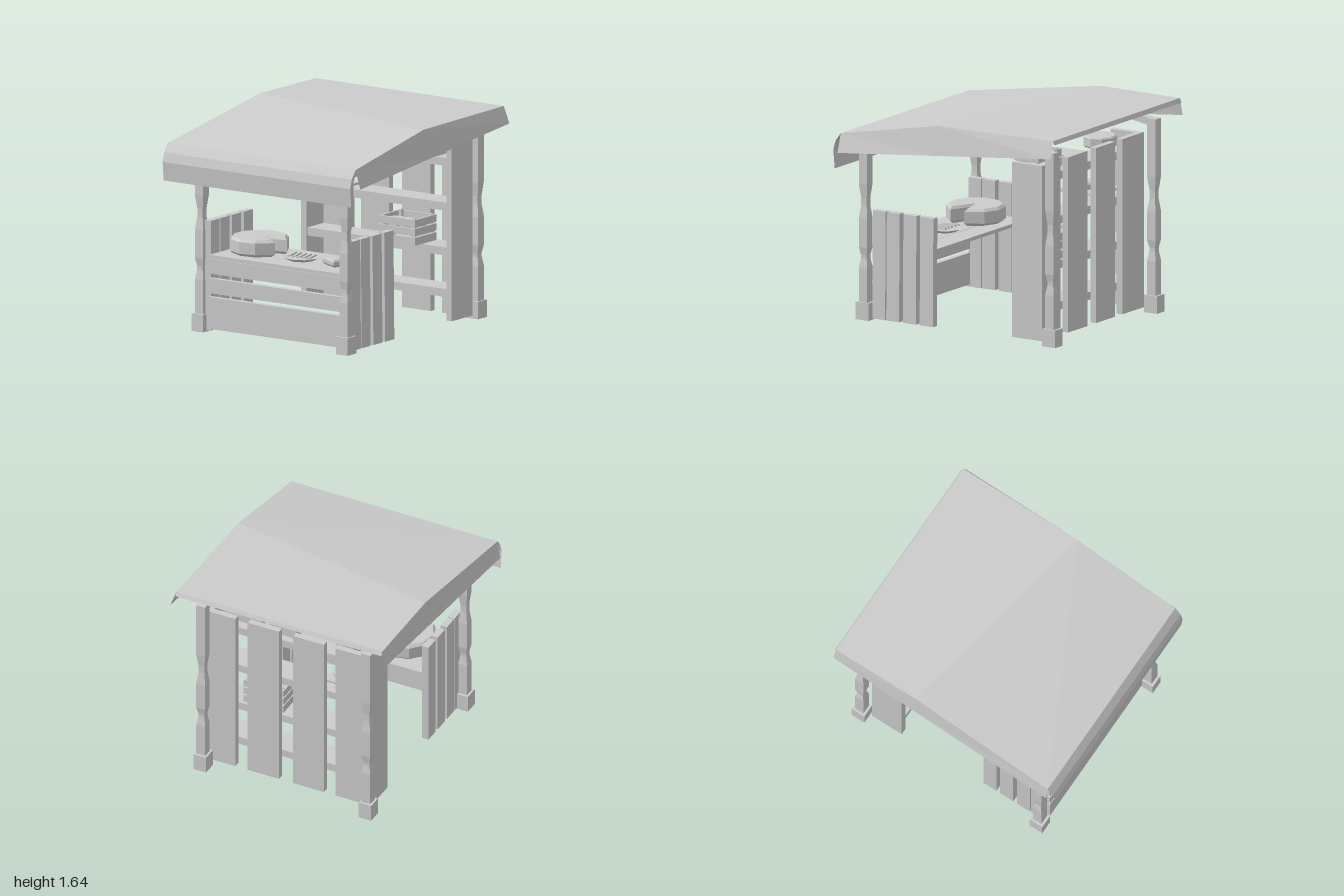
import * as THREE from 'three';

const mat = new THREE.MeshStandardMaterial({ color: 0xcccccc, flatShading: true });
const thin = new THREE.MeshStandardMaterial({ color: 0xcccccc, flatShading: true, side: THREE.DoubleSide });

function add(parent, name, geo, material = mat) {
  const m = new THREE.Mesh(geo, material);
  m.name = name;
  parent.add(m);
  return m;
}

// Box given by its min and max on each axis
function box(parent, name, x0, x1, y0, y1, z0, z1) {
  const m = add(parent, name, new THREE.BoxGeometry(x1 - x0, y1 - y0, z1 - z0));
  m.position.set((x0 + x1) / 2, (y0 + y1) / 2, (z0 + z1) / 2);
  return m;
}

function group(parent, name) {
  const g = new THREE.Group();
  g.name = name;
  parent.add(g);
  return g;
}

// Flat quads joined into one folded sheet
function sheet(quads) {
  const pos = [];
  for (const [a, b, c, d] of quads) pos.push(...a, ...b, ...c, ...a, ...c, ...d);
  const g = new THREE.BufferGeometry();
  g.setAttribute('position', new THREE.Float32BufferAttribute(pos, 3));
  g.computeVertexNormals();
  return g;
}

// Low-poly cheese wheel with a slice removed around the angle "turn"
function cheese(parent, name, r, h, cut, turn, x, y, z, sides = 9) {
  const bevel = r * 0.09;
  const s = new THREE.Shape();
  if (cut > 0) s.moveTo(0, 0);
  for (let i = 0; i <= sides; i++) {
    const a = cut / 2 + (i / sides) * (Math.PI * 2 - cut);
    const px = Math.cos(a) * (r - bevel), py = Math.sin(a) * (r - bevel);
    if (i === 0 && cut === 0) s.moveTo(px, py);
    else s.lineTo(px, py);
  }
  const geo = new THREE.ExtrudeGeometry(s, {
    depth: h - 2 * bevel, bevelEnabled: true, bevelSegments: 1, bevelSize: bevel, bevelThickness: bevel,
  });
  geo.translate(0, 0, bevel);
  geo.rotateX(-Math.PI / 2);
  const m = add(parent, name, geo);
  m.position.set(x, y, z);
  m.rotation.y = turn;
  return m;
}

// Slatted crate with corner battens
function crate(parent, name, x, y, z, w, h, d, rows) {
  const g = group(parent, name);
  g.position.set(x, y, z);
  const t = 0.018, step = h / rows;
  box(g, 'crateFloor', -w / 2, w / 2, 0, t, -d / 2, d / 2);
  for (let i = 0; i < rows; i++) {
    const y0 = i * step + 0.004, y1 = (i + 1) * step - 0.008;
    for (const s of [-1, 1]) {
      const zc = s * (d / 2 - t / 2), xc = s * (w / 2 - t / 2);
      box(g, 'crateLongSlat', -w / 2, w / 2, y0, y1, zc - t / 2, zc + t / 2);
      box(g, 'crateEndSlat', xc - t / 2, xc + t / 2, y0, y1, -d / 2 + t, d / 2 - t);
    }
  }
  for (const sx of [-1, 1]) for (const sz of [-1, 1]) {
    const xc = sx * (w / 2 - 0.03), zc = sz * (d / 2 - 0.03);
    box(g, 'crateBatten', xc - 0.013, xc + 0.013, 0, h, zc - 0.013, zc + 0.013);
  }
  return g;
}

function buildRoof(parent) {
  const roof = group(parent, 'roof');
  const L = -0.885, R = 0.86;
  const FL = [L, 1.455, 0.93], FR = [R, 1.455, 0.93];
  const ML = [L, 1.64, -0.27], MR = [R, 1.62, 0.05];
  const BL = [L, 1.635, -0.985], BR = [R, 1.63, -0.985];
  add(roof, 'roofTop', sheet([
    [FL, FR, MR, ML], [ML, MR, BR, BL],
    [BL, BR, [R, 1.6, -1], [L, 1.6, -1]],
  ]), thin);
  // Side flaps
  const flap = (x, f, m, b) => {
    const z = m[2], low = (zz) => 1.31 + (0.93 - zz) * 0.0985;
    const lf = [x, low(0.93), 0.93], lm = [x, low(z), z], lb = [x, low(-0.995), -0.995];
    return sheet([[f, lf, lm, m], [m, lm, lb, b]]);
  };
  add(roof, 'rightFlap', flap(-0.908, FL, ML, BL), thin);
  add(roof, 'leftFlap', flap(0.905, FR, MR, BR), thin);
  // Curved front valance
  const prof = [[1.455, 0.93], [1.39, 0.978], [1.32, 0.998], [1.175, 0.985]];
  const q = [];
  for (let i = 0; i < prof.length - 1; i++) {
    const [y0, z0] = prof[i], [y1, z1] = prof[i + 1];
    q.push([[L, y0, z0], [L, y1, z1], [R, y1, z1], [R, y0, z0]]);
  }
  add(roof, 'frontValance', sheet(q), thin);
}

// Square post with two carved waists, a foot block and a roof arm
function buildPost(parent, x, z, top, front) {
  const g = group(parent, front ? 'frontPost' : 'backPost');
  const rings = [[0.038, 0.02], [0.038, 0.4], [0.026, 0.47], [0.026, 0.5], [0.038, 0.56],
    [0.038, 0.78], [0.025, 0.88], [0.025, 0.94], [0.038, 1.05], [0.038, top]];
  const pts = [[0, 0.02], ...rings, [0, top]].map(([r, y]) => new THREE.Vector2(r * Math.SQRT2, y));
  const post = add(g, 'postShaft', new THREE.LatheGeometry(pts, 4, Math.PI / 4));
  post.position.set(x, 0, z);
  box(g, 'postFoot', x - 0.055, x + 0.05, 0, 0.135, z - 0.058, z + 0.058);
  const dir = front ? -1 : 1;
  const arm = box(g, 'roofArm', x - 0.035, x + 0.035, top - 0.05, top + 0.005, z - 0.15, z + 0.15);
  arm.position.z += dir * 0.13;
  arm.position.y += 0.015;
  arm.rotation.x = -dir * 0.17;
}

function buildCounter(parent) {
  const g = group(parent, 'counter');
  // Front slats
  for (const [y0, y1] of [[0.03, 0.275], [0.305, 0.42], [0.455, 0.57]])
    box(g, 'frontSlat', -0.62, 0.66, y0, y1, 0.735, 0.775);
  // Table top boards
  for (const [z0, z1] of [[0.22, 0.4], [0.405, 0.585], [0.59, 0.775]])
    box(g, 'tableBoard', -0.612, 0.642, 0.572, 0.6, z0, z1);
  // Upright side planks
  for (const [z0, z1] of [[0.636, 0.749], [0.51, 0.626], [0.358, 0.476], [0.205, 0.324]]) {
    box(g, 'leftPlank', 0.64, 0.695, 0.012, 0.85, z0, z1).rotation.z = 0.01;
    box(g, 'rightPlank', -0.67, -0.615, 0.012, 0.857, z0, z1);
  }
}

function buildShelves(parent) {
  const g = group(parent, 'shelfUnit');
  for (const [x0, x1] of [[-0.66, -0.39], [-0.29, -0.03], [0.09, 0.355], [0.46, 0.7]])
    box(g, 'backBoard', x0, x1, 0.03, 1.385, -0.79, -0.74);
  box(g, 'leftSideBoard', 0.66, 0.71, 0.03, 1.385, -0.79, -0.52);
  box(g, 'rightSideBoard', -0.69, -0.64, 0.03, 1.385, -0.79, -0.52);
  for (const y of [0.27, 0.59, 0.935, 1.28])
    box(g, 'shelf', -0.64, 0.66, y - 0.062, y, -0.74, -0.53);
}

function buildGoods(parent) {
  const g = group(parent, 'goods');
  // On the counter
  cheese(g, 'bigCheese', 0.225, 0.13, 0.75, -0.12, -0.34, 0.608, 0.5);
  const plate = add(g, 'plate', new THREE.CylinderGeometry(0.145, 0.1, 0.025, 8));
  plate.position.set(0.065, 0.613, 0.52);
  for (let i = 0; i < 5; i++) {
    const slice = add(g, 'cheeseSlice', new THREE.BoxGeometry(0.035, 0.012, 0.13));
    slice.position.set(-0.025 + i * 0.045, 0.633, 0.52);
    slice.rotation.set(0, 0.25, 0.25);
  }
  cheese(g, 'cheeseWedge', 0.17, 0.058, Math.PI * 1.7, Math.PI, 0.3, 0.602, 0.55, 2);
  cheese(g, 'cheeseWedge', 0.15, 0.06, Math.PI * 1.65, 2.4, 0.45, 0.602, 0.45, 2);
  // On the middle shelves
  box(g, 'servingBoard', -0.575, -0.235, 0.953, 0.97, -0.66, -0.305);
  cheese(g, 'smallCheese', 0.143, 0.05, 0.8, 0.1, -0.4, 0.97, -0.53, 7);
  box(g, 'cheeseKnob', -0.385, -0.33, 1.015, 1.03, -0.56, -0.51);
  crate(g, 'crate', 0.26, 0.592, -0.575, 0.34, 0.205, 0.28, 3);
  for (let i = 0; i < 3; i++)
    cheese(g, 'crateCheese', 0.06, 0.08, 0, i, 0.16 + i * 0.1, 0.68, -0.575, 7);
  // On the top shelf
  crate(g, 'topCrate', 0.45, 1.3, -0.58, 0.32, 0.14, 0.22, 2);
  box(g, 'topTray', 0.0, 0.22, 1.28, 1.36, -0.68, -0.48);
  cheese(g, 'topCheese', 0.13, 0.09, 0, 0, -0.42, 1.3, -0.57, 9);
}

export function createModel() {
  const stall = new THREE.Group();
  stall.name = 'marketStall';
  buildRoof(stall);
  buildPost(stall, 0.693, 0.815, 1.4, true);
  buildPost(stall, -0.705, 0.74, 1.4, true);
  buildPost(stall, 0.693, -0.87, 1.5, false);
  buildPost(stall, -0.705, -0.87, 1.5, false);
  buildCounter(stall);
  buildShelves(stall);
  buildGoods(stall);
  return stall;
}
